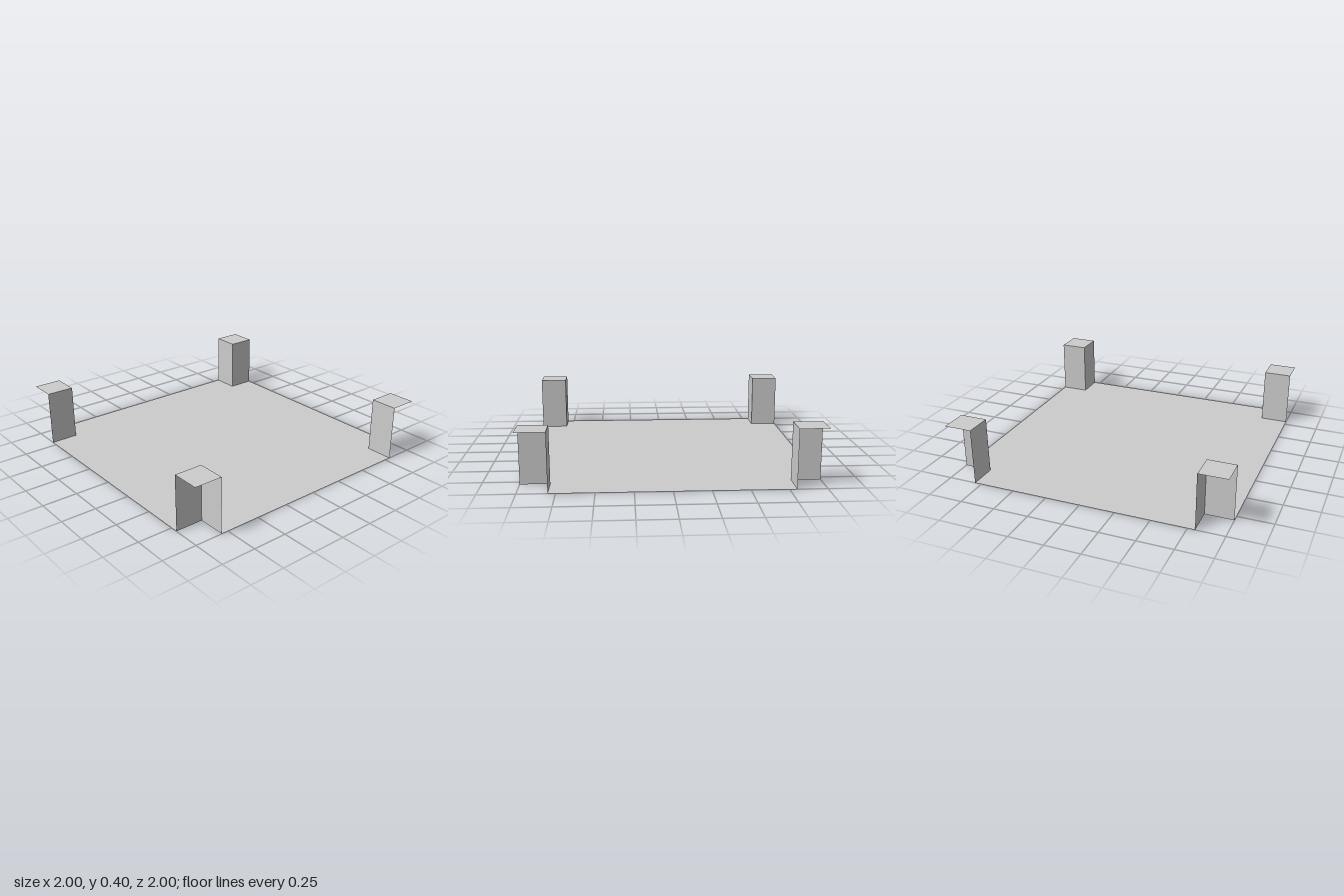
import * as THREE from 'three';

const HALF = 1;      // half width of the sheet
const INNER = 0.8;   // where the corner notches begin
const NOTCH = HALF - INNER;
const HEIGHT = 0.4;  // height of the raised corners

export function createModel() {
  const group = new THREE.Group();
  const material = new THREE.MeshStandardMaterial({
    color: 0xcccccc, flatShading: true, side: THREE.DoubleSide,
  });

  const add = (parent, name, geometry) => {
    const mesh = new THREE.Mesh(geometry, material);
    mesh.name = name;
    parent.add(mesh);
    return mesh;
  };

  // Flat floor: a square with its four corners notched out
  const outline = new THREE.Shape([
    [HALF, -INNER], [HALF, INNER], [INNER, INNER], [INNER, HALF],
    [-INNER, HALF], [-INNER, INNER], [-HALF, INNER], [-HALF, -INNER],
    [-INNER, -INNER], [-INNER, -HALF], [INNER, -HALF], [INNER, -INNER],
  ].map(([x, y]) => new THREE.Vector2(x, y)));
  add(group, 'floor', new THREE.ShapeGeometry(outline).rotateX(-Math.PI / 2));

  // Raised corners: two walls on the notch's inner edges and a flat cap, open outwards
  const mid = (INNER + HALF) / 2;
  ['frontLeft', 'backLeft', 'backRight', 'frontRight'].forEach((place, i) => {
    const corner = new THREE.Group();
    corner.name = `${place}Corner`;
    corner.rotation.y = i * Math.PI / 2;

    const wall = () => new THREE.PlaneGeometry(NOTCH, HEIGHT);
    add(corner, 'crossWall', wall().translate(mid, HEIGHT / 2, INNER));
    add(corner, 'sideWall', wall().rotateY(Math.PI / 2).translate(INNER, HEIGHT / 2, mid));
    add(corner, 'cap', new THREE.PlaneGeometry(NOTCH, NOTCH)
      .rotateX(-Math.PI / 2).translate(mid, HEIGHT, mid));
    group.add(corner);
  });

  return group;
}
